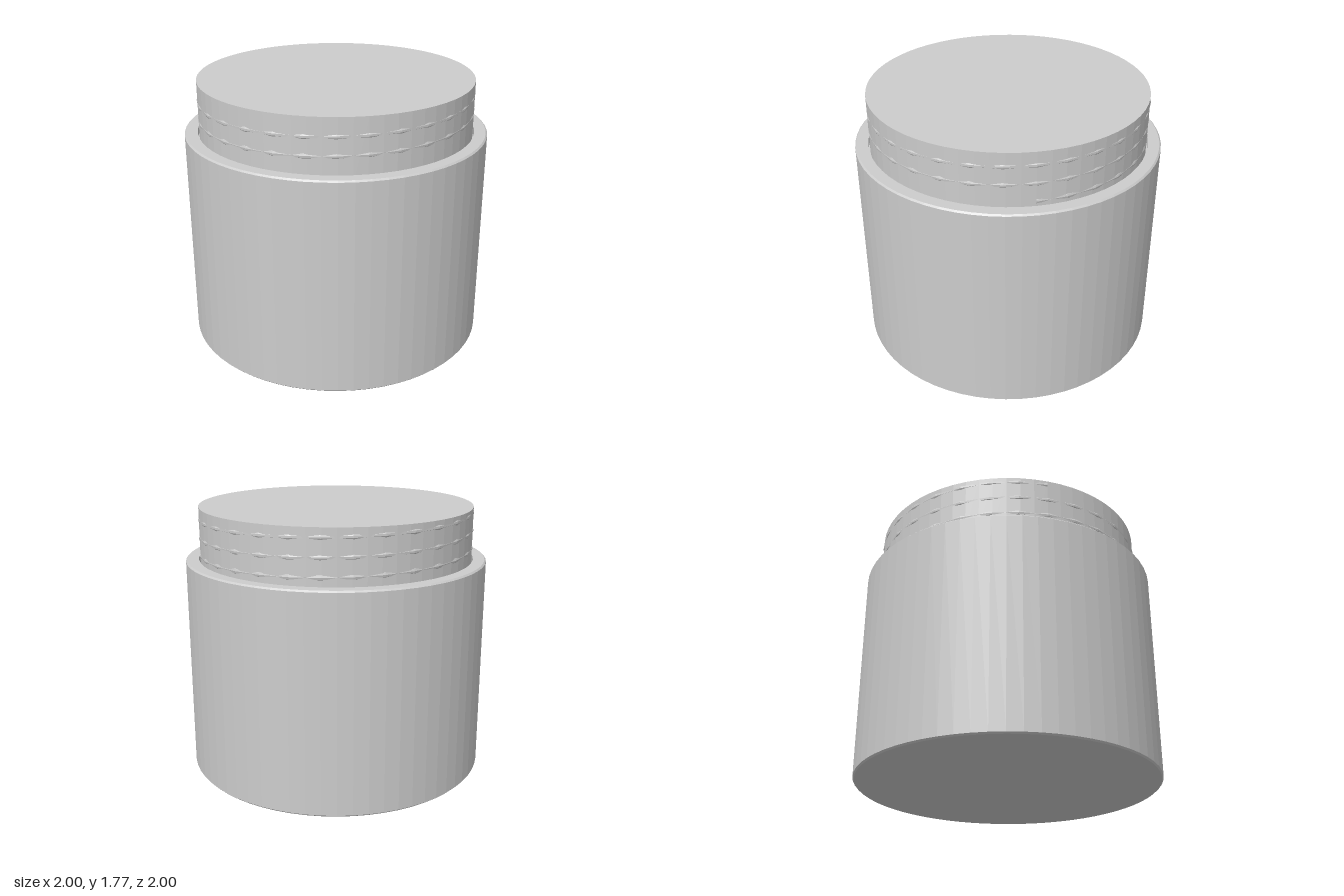
import * as THREE from 'three';

const SIDES = 64;

// Rising helix that starts on the +x side and winds towards the back
class Helix extends THREE.Curve {
  constructor(radius, bottom, pitch, turns) {
    super();
    Object.assign(this, { radius, bottom, pitch, turns });
  }
  getPoint(t, target = new THREE.Vector3()) {
    const a = t * this.turns * Math.PI * 2;
    return target.set(
      Math.cos(a) * this.radius,
      this.bottom + t * this.turns * this.pitch,
      -Math.sin(a) * this.radius
    );
  }
}

export function createModel() {
  const group = new THREE.Group();
  const grey = new THREE.MeshStandardMaterial({ color: 0xcccccc });
  grey.name = 'plain grey';
  grey.flatShading = true;

  const add = (name, geometry) => {
    const mesh = new THREE.Mesh(geometry, grey);
    mesh.name = name;
    group.add(mesh);
    return mesh;
  };

  // Body: bevelled cylinder with a narrow groove around the neck
  const profile = [
    [0, 0], [0.99, 0], [1, 0.01], [1, 1.42], [0.99, 1.43],
    [0.915, 1.43], [0.915, 1.38], [0, 1.38],
  ].map(([r, y]) => new THREE.Vector2(r, y));
  add('body', new THREE.LatheGeometry(profile, SIDES));

  // Neck: solid disc standing in the body
  const neckBottom = 1.375, neckTop = 1.775;
  add('neck', new THREE.CylinderGeometry(0.905, 0.905, neckTop - neckBottom, SIDES))
    .position.y = (neckTop + neckBottom) / 2;

  // Thread: coarse tube whose corners just break through the neck wall
  const turns = 2.5;
  const helix = new Helix(0.885, 1.455, 0.117, turns);
  add('thread', new THREE.TubeGeometry(helix, 30 * turns, 0.025, 12));

  return group;
}
